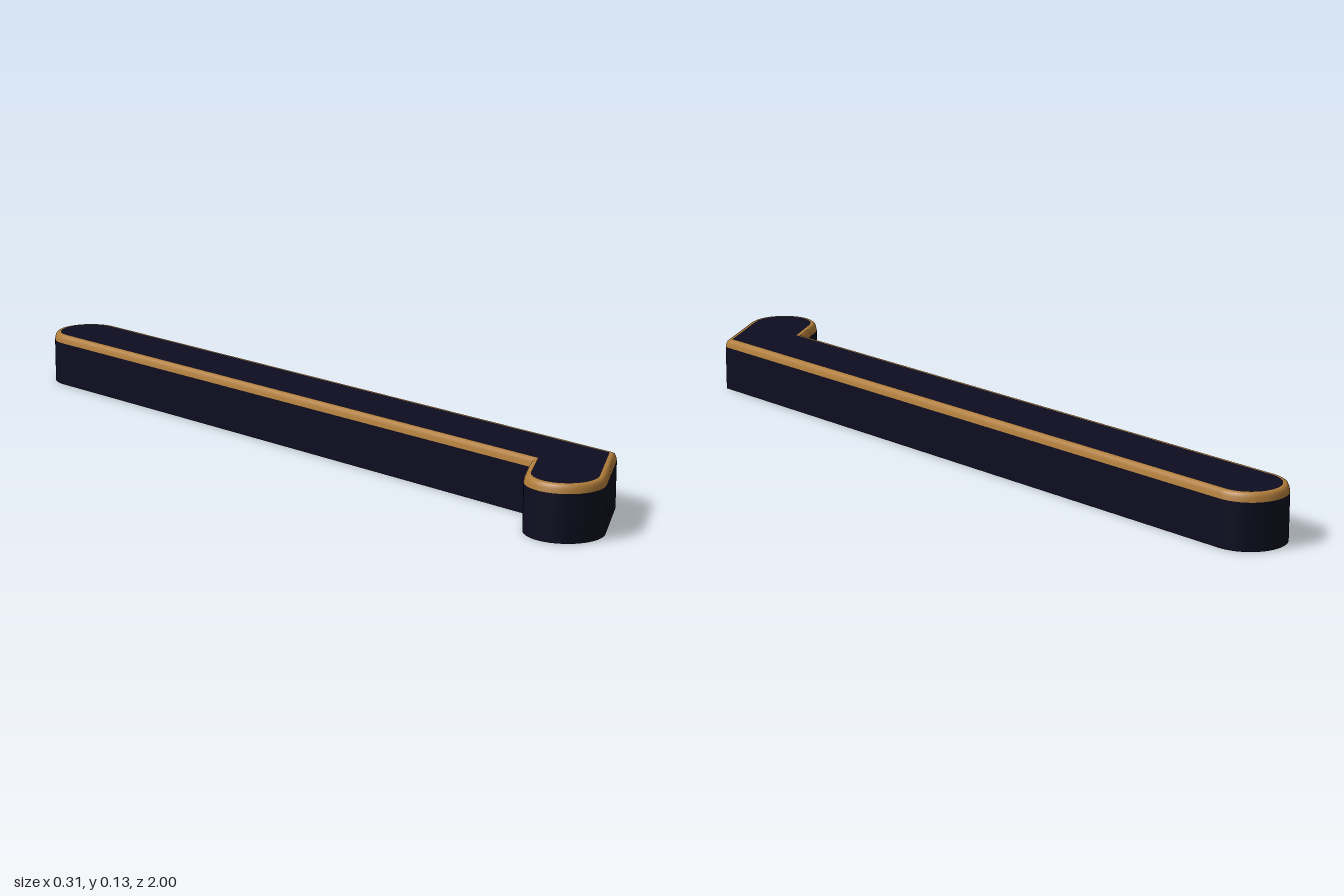
import * as THREE from 'three';

const RADIUS = 0.092;                              // half width of the bar
const FAR = new THREE.Vector2(0.065, -0.908);      // (x, z) centre of the long arm's end
const BEND = new THREE.Vector2(0.065, 0.82);       // centre line corner
const NEAR = new THREE.Vector2(-0.065, 0.908);     // centre of the short arm's end
const STEPS = 24;

// Bent-bar outline, counter-clockwise from above, pulled in by inset
function outline(inset) {
  const r = RADIUS - inset;
  const longDir = new THREE.Vector2(0, -1);
  const longSide = new THREE.Vector2(1, 0);
  const shortDir = NEAR.clone().sub(BEND).normalize();
  const shortSide = new THREE.Vector2(shortDir.y, -shortDir.x);   // outer side of the short arm
  const points = [];
  const roundEnd = (centre, start, dir) => {
    for (let i = 0; i <= STEPS; i++) {
      const t = (i / STEPS) * Math.PI;
      points.push(centre.clone()
        .addScaledVector(start, r * Math.cos(t))
        .addScaledVector(dir, r * Math.sin(t)));
    }
  };
  if (shortSide.x < 0) shortSide.negate();
  const mitre = longSide.clone().add(shortSide)
    .multiplyScalar(r / (1 + longSide.dot(shortSide)));
  roundEnd(FAR, longSide, longDir);
  points.push(BEND.clone().sub(mitre));
  roundEnd(NEAR, shortSide.clone().negate(), shortDir);
  points.push(BEND.clone().add(mitre));
  return points;
}

// Skin a profile of [inset, height] pairs around the outline
function band(profile) {
  const positions = [];
  const indices = [];
  let n = 0;
  for (const [inset, y] of profile) {
    const ring = outline(inset);
    n = ring.length;
    for (const p of ring) positions.push(p.x, y, p.y);
  }
  for (let k = 0; k < profile.length - 1; k++) {
    for (let i = 0; i < n; i++) {
      const j = (i + 1) % n;
      const a = k * n + i, b = k * n + j;
      indices.push(a, b, b + n, a, b + n, a + n);
    }
  }
  const geometry = new THREE.BufferGeometry();
  geometry.setAttribute('position', new THREE.Float32BufferAttribute(positions, 3));
  geometry.setIndex(indices);
  geometry.computeVertexNormals();
  return geometry;
}

export function createModel() {
  const group = new THREE.Group();
  group.name = 'bentBar';

  const navy = new THREE.MeshStandardMaterial({ color: 0x0d0d20, side: THREE.DoubleSide });
  navy.name = 'dark navy';
  const gold = new THREE.MeshStandardMaterial({ color: 0xb07d3a, side: THREE.DoubleSide });
  gold.name = 'gold';

  const add = (name, geometry, material) => {
    const mesh = new THREE.Mesh(geometry, material);
    mesh.name = name;
    group.add(mesh);
  };

  // Upright wall, open underneath
  add('sideWall', band([[0, 0], [0, 0.113]]), navy);

  // Rounded trim along the upper edge
  add('edgeTrim', band([[0, 0.113], [0.002, 0.123], [0.005, 0.13], [0.01, 0.133], [0.016, 0.133]]), gold);

  // Flat top inside the trim
  const shape = new THREE.Shape(outline(0.016).map((p) => new THREE.Vector2(p.x, -p.y)));
  const top = new THREE.ShapeGeometry(shape);
  top.rotateX(-Math.PI / 2);
  top.translate(0, 0.133, 0);
  add('topPanel', top, navy);

  return group;
}
